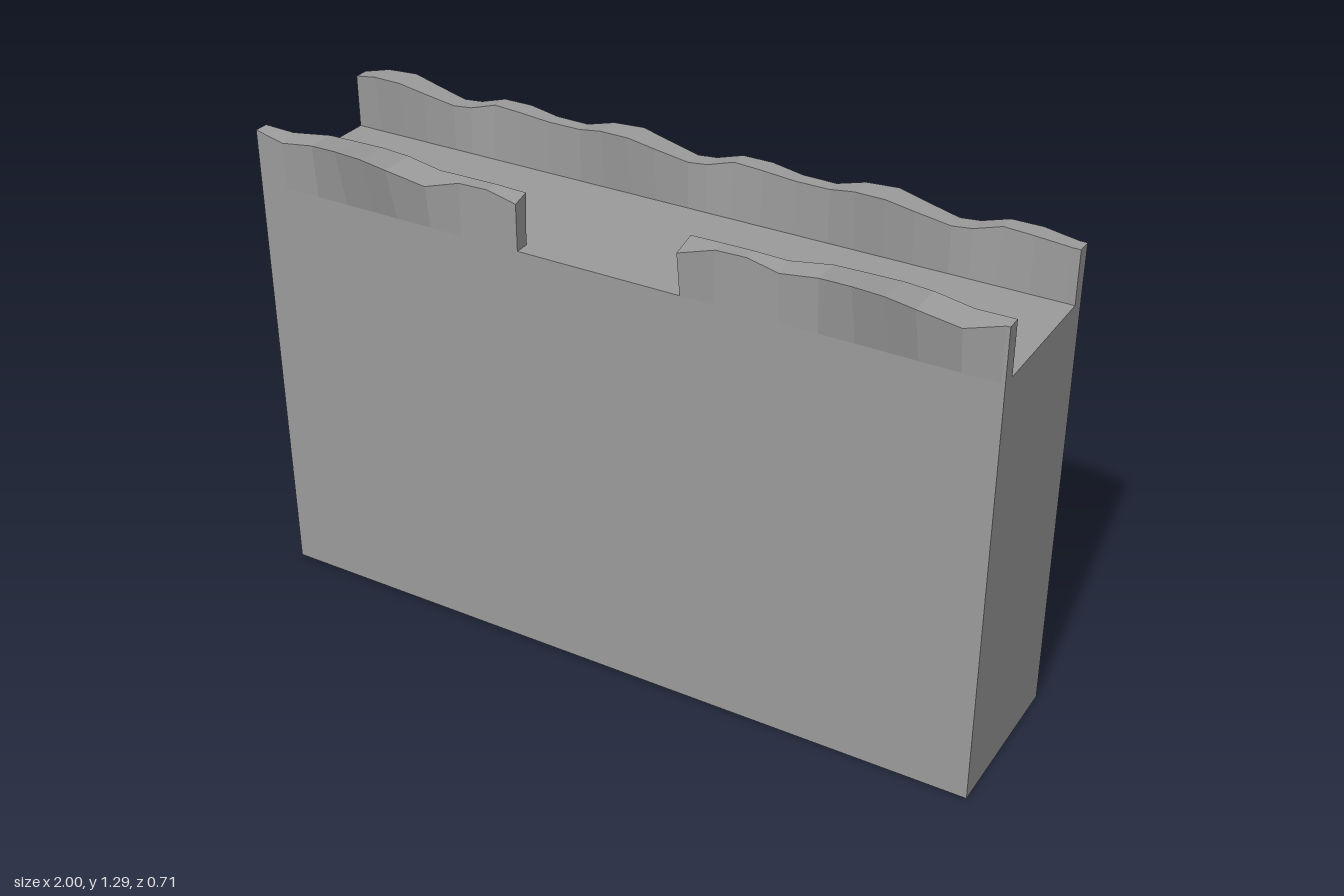
import * as THREE from 'three';

const LENGTH = 2, WALK_Y = 1.14, FRONT_Z = 0.318, BACK_Z = -0.125, PERIOD = 0.69;
const material = new THREE.MeshStandardMaterial({ color: 0x9b9b9b });

// Worn parapet tops, repeated along the wall: [x offset, height, outward bulge, inward bulge]
const FRONT_TILE = [
  [0, 1.28, 0, 0], [0.08, 1.262, 0, 0.007], [0.18, 1.28, 0.008, 0.028], [0.27, 1.295, 0.033, 0.022],
  [0.35, 1.295, 0.039, 0.024], [0.42, 1.28, 0.032, 0.025], [0.52, 1.254, 0.014, 0.013], [0.61, 1.278, 0, 0],
];
const BACK_TILE = [
  [0, 1.28, 0, 0], [0.07, 1.295, 0.012, 0.012], [0.15, 1.295, 0.023, 0.014], [0.22, 1.28, 0.018, 0.008],
  [0.31, 1.262, 0.012, 0], [0.36, 1.265, 0.016, -0.006], [0.43, 1.285, 0.02, -0.012],
  [0.51, 1.285, 0.02, -0.004], [0.6, 1.28, 0.003, 0],
];

// Joins a row of closed cross-sections, running towards +x, and caps both ends.
// Each face keeps one normal, so slightly twisted faces still look flat.
function loft(rings) {
  const pos = [], normals = [];
  const face = corners => {
    const p = corners.map(c => new THREE.Vector3(...c));
    const normal = p[2].clone().sub(p[0]).cross(p[3].clone().sub(p[1])).normalize();
    for (let i = 1; i < p.length - 1; i++) {
      for (const v of [p[0], p[i], p[i + 1]]) {
        pos.push(v.x, v.y, v.z);
        normals.push(normal.x, normal.y, normal.z);
      }
    }
  };
  const n = rings[0].length;
  for (let r = 0; r < rings.length - 1; r++) {
    const a = rings[r], b = rings[r + 1];
    for (let i = 0; i < n; i++) {
      const j = (i + 1) % n;
      face([a[i], b[i], b[j], a[j]]);
    }
  }
  face(rings[0]);
  face([...rings[rings.length - 1]].reverse());
  const geometry = new THREE.BufferGeometry();
  geometry.setAttribute('position', new THREE.Float32BufferAttribute(pos, 3));
  geometry.setAttribute('normal', new THREE.Float32BufferAttribute(normals, 3));
  return geometry;
}

// Stations of a repeated tile between x0 and x1, interpolated at the two ends
function stations(tile, x0, x1) {
  const all = [];
  for (let k = 0; k < 4; k++) {
    for (const [dx, ...rest] of tile) all.push([-1 + k * PERIOD + dx, ...rest]);
  }
  const sample = x => {
    const i = Math.max(1, all.findIndex(s => s[0] >= x));
    const a = all[i - 1], b = all[i];
    const t = (x - a[0]) / (b[0] - a[0]);
    return a.map((v, c) => v + (b[c] - v) * t);
  };
  const inside = all.filter(s => s[0] > x0 + 0.005 && s[0] < x1 - 0.005);
  return [sample(x0), ...inside, sample(x1)];
}

// A thin parapet; side is +1 for the front, whose inner edge is less worn, and -1 for the back
function parapet(tile, x0, x1, outerZ, side) {
  const innerZ = outerZ - side * 0.038;
  const innerWear = side > 0 ? 0.35 : 1;
  return loft(stations(tile, x0, x1).map(([x, y, out, inn]) => {
    const ring = [
      [x, WALK_Y, outerZ],
      [x, y, outerZ + side * out],
      [x, 1.28 + (y - 1.28) * innerWear, innerZ - side * inn],
      [x, WALK_Y, innerZ],
    ];
    return side > 0 ? ring : ring.reverse();
  }));
}

// A bent buttress with flat sides that widen towards the foot
function buttress() {
  const profile = [[BACK_Z, 0], [BACK_Z, 0.43], [-0.165, 0.43], [-0.205, 0.26], [-0.357, 0]];
  const halfWidth = (z, y) => 0.036 - 0.03 * z - 0.017 * y;
  return loft([-1, 1].map(s => profile.map(([z, y]) => [s * halfWidth(z, y), y, z])));
}

export function createModel() {
  const model = new THREE.Group();
  const add = (name, geometry, x = 0) => {
    const mesh = new THREE.Mesh(geometry, material);
    mesh.name = name;
    mesh.position.x = x;
    model.add(mesh);
    return mesh;
  };

  // Main wall block with the walkway on top
  const wall = add('wall', new THREE.BoxGeometry(LENGTH, WALK_Y, FRONT_Z - BACK_Z));
  wall.position.set(0, WALK_Y / 2, (FRONT_Z + BACK_Z) / 2);

  // Front parapet with a gap in the middle, and an unbroken back parapet
  add('rightFrontParapet', parapet(FRONT_TILE, -1, -0.23, FRONT_Z, 1));
  add('leftFrontParapet', parapet(FRONT_TILE, 0.21, 1, FRONT_Z, 1));
  add('backParapet', parapet(BACK_TILE, -1, 1, BACK_Z, -1));

  // Two groups of three buttresses on the back
  const buttressGeometry = buttress();
  for (const centre of [-0.695, 0.69]) {
    for (const step of [-1, 0, 1]) add('buttress', buttressGeometry, centre + step * 0.175);
  }
  return model;
}
